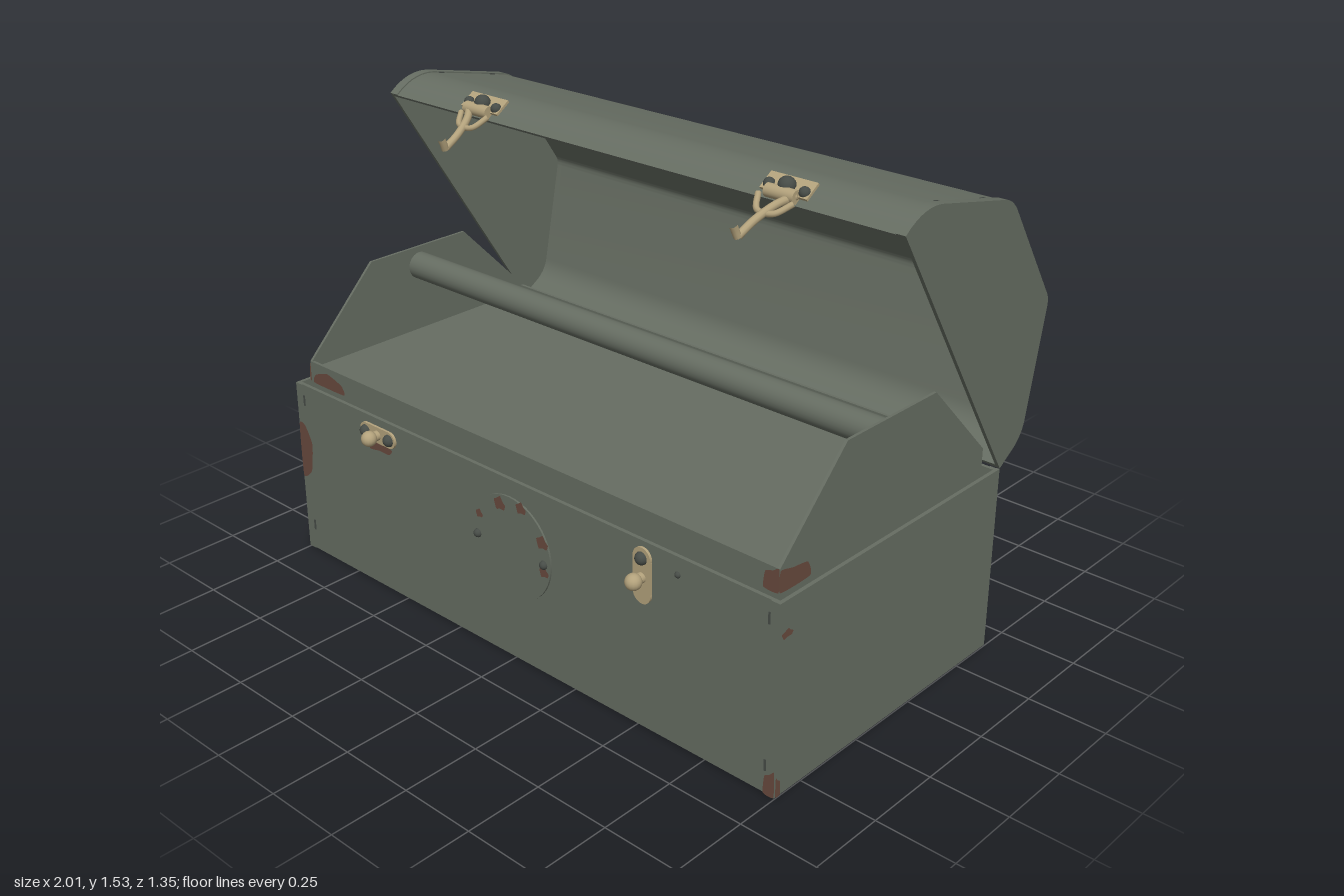
import * as THREE from 'three';
import { toCreasedNormals } from 'three/addons/utils/BufferGeometryUtils.js';

const mat = (name, color, side = THREE.FrontSide) => {
  const m = new THREE.MeshStandardMaterial({ color, side });
  m.name = name;
  return m;
};

export function createModel() {
  const root = new THREE.Group();
  root.name = 'toolbox';
  const green = mat('greyGreenPaint', 0x666d62);
  const brass = mat('brass', 0xb3a27c);
  const dark = mat('darkSteel', 0x474c47);
  const rust = mat('rust', 0x684a3e, THREE.DoubleSide);
  const red = mat('redGrip', 0xb8382e);
  const brown = mat('wornGrip', 0x66544c);

  const add = (name, geo, m, x = 0, y = 0, z = 0, parent = root) => {
    const mesh = new THREE.Mesh(geo, m);
    mesh.name = name;
    mesh.position.set(x, y, z);
    parent.add(mesh);
    return mesh;
  };
  const box = (name, m, w, h, d, x, y, z) => add(name, new THREE.BoxGeometry(w, h, d), m, x, y, z);
  const ball = (name, m, r, x, y, z) => add(name, new THREE.SphereGeometry(r, 16, 12), m, x, y, z);
  const rod = (name, m, r, len, x, y, z, axis = 'x', n = 24) => {
    const g = new THREE.CylinderGeometry(r, r, len, n);
    if (axis === 'x') g.rotateZ(Math.PI / 2);
    if (axis === 'z') g.rotateX(Math.PI / 2);
    return add(name, g, m, x, y, z);
  };
  const wire = (name, m, r, pts) => {
    const c = new THREE.CatmullRomCurve3(pts.map(p => new THREE.Vector3(...p)));
    return add(name, new THREE.TubeGeometry(c, 32, r, 10), m);
  };
  // Side profile of [z, y] points, extruded along x from x0 to x1
  const extrudeX = (name, m, pts, x0, x1) => {
    const s = new THREE.Shape(pts.map(([z, y]) => new THREE.Vector2(-z, y)));
    const g = new THREE.ExtrudeGeometry(s, { depth: x1 - x0, bevelEnabled: false });
    g.rotateY(Math.PI / 2).translate(x0, 0, 0);
    return add(name, toCreasedNormals(g, 0.5), m);
  };

  // Lower box: open sheet-metal walls
  box('boxBottom', green, 2, 0.012, 1.01, 0, 0.006, 0.105);
  box('boxFront', green, 1.976, 0.588, 0.012, 0, 0.306, 0.604);
  box('boxBack', green, 1.976, 0.588, 0.012, 0, 0.306, -0.389);
  for (const s of [-1, 1]) {
    box('boxEnd', green, 0.012, 0.588, 1.01, s * 0.994, 0.306, 0.105);
    box('frontFlange', green, 0.03, 0.6, 0.004, s * 0.985, 0.3, 0.611);
    box('backFlange', green, 0.03, 0.6, 0.004, s * 0.985, 0.3, -0.396);
    for (const y of [0.09, 0.545]) box('flangeSlot', dark, 0.006, 0.036, 0.004, s * 0.965, y, 0.611);
  }

  // Tray with gabled ends and a carrying bar
  box('trayFloor', green, 1.93, 0.01, 0.93, 0, 0.645, 0.11);
  box('trayFront', green, 1.93, 0.19, 0.01, 0, 0.577, 0.57);
  box('trayBack', green, 1.93, 0.19, 0.01, 0, 0.577, -0.35);
  const gable = [[0.575, 0.48], [0.575, 0.672], [0.31, 0.94], [-0.09, 0.94], [-0.355, 0.672], [-0.355, 0.48]];
  extrudeX('trayEnd', green, gable, 0.957, 0.966);
  extrudeX('trayEnd', green, gable, -0.966, -0.957);
  rod('trayBar', green, 0.045, 1.92, 0, 0.875, 0.11);

  // Lid: rounded profile in the open position
  const path = new THREE.Path();
  path.moveTo(0.155, 1.463);
  path.quadraticCurveTo(0.085, 1.522, 0.0, 1.51);
  path.lineTo(-0.31, 1.444);
  path.quadraticCurveTo(-0.345, 1.437, -0.372, 1.402);
  path.lineTo(-0.575, 1.1);
  path.quadraticCurveTo(-0.589, 1.08, -0.584, 1.055);
  path.lineTo(-0.517, 0.72);
  path.quadraticCurveTo(-0.507, 0.672, -0.465, 0.643);
  path.lineTo(-0.4, 0.602);
  const outer = path.getPoints(7).map(p => [p.x, p.y]);
  const inset = d => outer.map(([z, y], i) => {
    const a = outer[Math.max(i - 1, 0)], b = outer[Math.min(i + 1, outer.length - 1)];
    const dz = b[0] - a[0], dy = b[1] - a[1], l = Math.hypot(dz, dy);
    return [z - dy / l * d, y + dz / l * d];
  });
  const shell = (d0, d1) => [...inset(d0), ...inset(d1).reverse()];
  extrudeX('lidShell', green, shell(0.004, 0.014), -0.985, 0.985);
  for (const s of [-1, 1]) {
    extrudeX('lidRim', green, shell(0, 0.014), s > 0 ? 0.968 : -0.988, s > 0 ? 0.988 : -0.968);
    extrudeX('lidEnd', green, outer, s > 0 ? 0.988 : -1, s > 0 ? 1 : -0.988);
    for (const z of [-0.03, -0.25]) {
      const slot = box('lidSlot', dark, 0.006, 0.006, 0.02, s * 0.962, 1.51 + z * 0.213 - 0.003, z);
      slot.rotation.x = -0.21;
    }
  }
  for (const y of [1.23, 1.28]) ball('lidRivet', dark, 0.006, 0.44, y, -0.472 + (y - 1.25) * 0.67 + 0.017);

  // Hinges across the back seam
  for (const s of [-1, 1]) {
    const x = s * 0.59;
    box('hingeLowerLeaf', green, 0.2, 0.075, 0.007, x, 0.555, -0.398);
    const leaf = box('hingeUpperLeaf', green, 0.2, 0.075, 0.007, x, 0.62, -0.437);
    leaf.rotation.x = -0.99;
    rod('hingePin', dark, 0.012, 0.2, x, 0.6, -0.405, 'x', 12);
    for (const dx of [-0.07, 0, 0.07]) {
      ball('hingeRivet', dark, 0.011, x + dx, 0.545, -0.4);
      ball('hingeRivet', dark, 0.011, x + dx, 0.625, -0.446);
    }
  }

  // Lid latches: barrel, mounting ears and a bent lever
  for (const s of [-1, 1]) {
    const x = s * 0.595;
    const plate = box('latchPlate', brass, 0.16, 0.008, 0.06, x, 1.496, 0.115);
    plate.rotation.x = 0.6;
    rod('latchBarrel', brass, 0.02, 0.1, x, 1.482, 0.145);
    ball('latchPivot', dark, 0.026, x, 1.5, 0.125);
    for (const d of [-0.06, 0.06]) ball('latchRivet', dark, 0.017, x + d, 1.493, 0.125);
    wire('latchLever', brass, 0.012, [[s * 0.64, 1.485, 0.14], [s * 0.605, 1.463, 0.18], [s * 0.582, 1.43, 0.24], [s * 0.575, 1.398, 0.3]]);
    wire('latchHook', brass, 0.012, [[s * 0.575, 1.396, 0.3], [s * 0.573, 1.415, 0.308], [s * 0.572, 1.432, 0.316]]);
    wire('latchBail', brass, 0.009, [[s * 0.65, 1.47, 0.165], [s * 0.615, 1.445, 0.205], [s * 0.56, 1.445, 0.205], [s * 0.53, 1.475, 0.165]]);
  }

  // Catches on the box front
  const catchPlate = (x, y, vertical, studY) => {
    const [w, h] = vertical ? [0.065, 0.1] : [0.1, 0.055];
    box('catchPlate', brass, w, h, 0.008, x, y, 0.614);
    for (const d of [-1, 1]) {
      const px = x + (vertical ? 0 : d * 0.055), py = y + (vertical ? d * 0.055 : 0);
      rod('catchPlateEnd', brass, vertical ? 0.0325 : 0.0275, 0.008, px, py, 0.614, 'z');
      if (!vertical || d > 0) ball('catchRivet', dark, 0.02, px, py, 0.617);
    }
    rod('catchStud', brass, 0.016, 0.04, x, studY, 0.632, 'z');
    ball('catchKnob', brass, 0.025, x, studY, 0.65);
  };
  catchPlate(-0.59, 0.547, false, 0.547);
  catchPlate(0.525, 0.495, true, 0.49);
  ball('frontRivet', dark, 0.01, 0.65, 0.545, 0.609);

  // Round cover plate on the front
  rod('coverDisc', green, 0.167, 0.006, 0, 0.378, 0.613, 'z', 48);
  for (const s of [-1, 1]) ball('coverRivet', dark, 0.014, s * 0.14, 0.375, 0.616);

  // Carrying handle: turned grip in colour bands, bent wire and brackets
  const radius = x => 0.057 - 0.022 * Math.pow(Math.abs(x) / 0.345, 3);
  for (const [a, b, m, name] of [[-0.345, -0.285, dark, 'gripCap'], [-0.285, -0.18, brown, 'gripWorn'],
    [-0.18, 0.075, red, 'gripRed'], [0.075, 0.275, brown, 'gripWorn'], [0.275, 0.345, dark, 'gripCap']]) {
    const pts = [new THREE.Vector2(0, a)];
    for (let i = 0; i <= 6; i++) {
      const x = a + (b - a) * i / 6;
      pts.push(new THREE.Vector2(radius(x), x));
    }
    pts.push(new THREE.Vector2(0, b));
    const g = toCreasedNormals(new THREE.LatheGeometry(pts, 28).rotateZ(-Math.PI / 2), 0.6);
    add(name, g, m, 0, 1.13, -0.618);
  }
  for (const s of [-1, 1]) {
    wire('handleWire', brass, 0.012, [[s * 0.33, 1.13, -0.618], [s * 0.39, 1.135, -0.612], [s * 0.425, 1.165, -0.58],
      [s * 0.408, 1.2, -0.545], [s * 0.418, 1.235, -0.51], [s * 0.46, 1.262, -0.482]]);
    const b = box('handleBracket', dark, 0.07, 0.045, 0.014, s * 0.46, 1.258, -0.473);
    b.rotation.x = 0.593;
    rod('bracketBarrel', dark, 0.018, 0.06, s * 0.455, 1.265, -0.478, 'x', 14);
  }

  // Rust patches: smooth outlines laid just off a face
  const patch = (pts, pos, rot = [0, 0, 0]) => {
    const c = new THREE.CatmullRomCurve3(pts.map(([x, y]) => new THREE.Vector3(x, y, 0)), true, 'catmullrom', 0.25);
    const g = new THREE.ShapeGeometry(new THREE.Shape(c.getPoints(36).map(p => new THREE.Vector2(p.x, p.y))));
    add('rustPatch', g, rust, ...pos).rotation.set(...rot);
  };
  const blob = (rx, ry) => [1, 0.7, 1.05, 0.75, 0.95, 0.8, 1, 0.65, 1].map((k, i) => {
    const a = i / 9 * Math.PI * 2;
    return [Math.cos(a) * rx * k, Math.sin(a) * ry * k];
  });
  const quarter = (w, h) => [[0, 0], [w, 0], [w * 0.9, h * 0.7], [w * 0.4, h * 0.85], [0, h]];
  const R = Math.PI / 2;
  // Front
  patch([[0, 0], [0.045, 0.03], [0.06, 0.13], [0.03, 0.19], [0, 0.19]], [-0.998, 0.265, 0.6145]);
  patch(quarter(-0.036, 0.08), [0.999, 0.002, 0.6145]);
  patch(blob(0.07, 0.03), [-0.6, 0.51, 0.6115]);
  patch([[0, 0], [0.15, 0], [0.14, 0.03], [0.07, 0.05], [0.01, 0.03]], [-0.95, 0.602, 0.5765]);
  patch(quarter(-0.05, 0.07), [0.964, 0.602, 0.5765]);
  for (const [x, y, r] of [[-0.04, 0.51, 0.025], [0.05, 0.525, 0.022], [0.135, 0.445, 0.025], [0.14, 0.35, 0.02], [-0.13, 0.445, 0.016]])
    patch(blob(r, r), [x, y, 0.6175]);
  // Ends
  patch(quarter(0.125, 0.065), [0.9675, 0.602, 0.574], [0, R, 0]);
  patch(quarter(-0.125, 0.065), [-0.9675, 0.602, 0.574], [0, -R, 0]);
  patch(quarter(0.02, 0.06), [1.0015, 0.002, 0.609], [0, R, 0]);
  patch(blob(0.025, 0.015), [1.0015, 0.5, 0.582], [0, R, 0]);
  patch([[0, 0], [-0.05, 0.03], [-0.07, 0.12], [-0.04, 0.18], [0, 0.19]], [-1.0015, 0.265, 0.609], [0, -R, 0]);
  // Back
  patch(quarter(-0.25, 0.11), [-0.998, 0.002, -0.399], [0, Math.PI, 0]);
  for (const s of [-1, 1]) patch(blob(0.09, 0.035), [s * 0.59, 0.51, -0.3965], [0, Math.PI, 0]);
  // Underside
  patch(blob(0.27, 0.24), [0.56, -0.001, 0.09], [R, 0, 0]);
  patch(blob(0.3, 0.24), [-0.39, -0.001, 0.0], [R, 0, 0]);
  patch(quarter(0.34, 0.2), [-0.998, -0.001, -0.398], [R, 0, 0]);
  // Inside the lid
  patch(blob(0.03, 0.038), [-0.44, 1.25, -0.452], [0.593, 0, 0]);

  return root;
}
